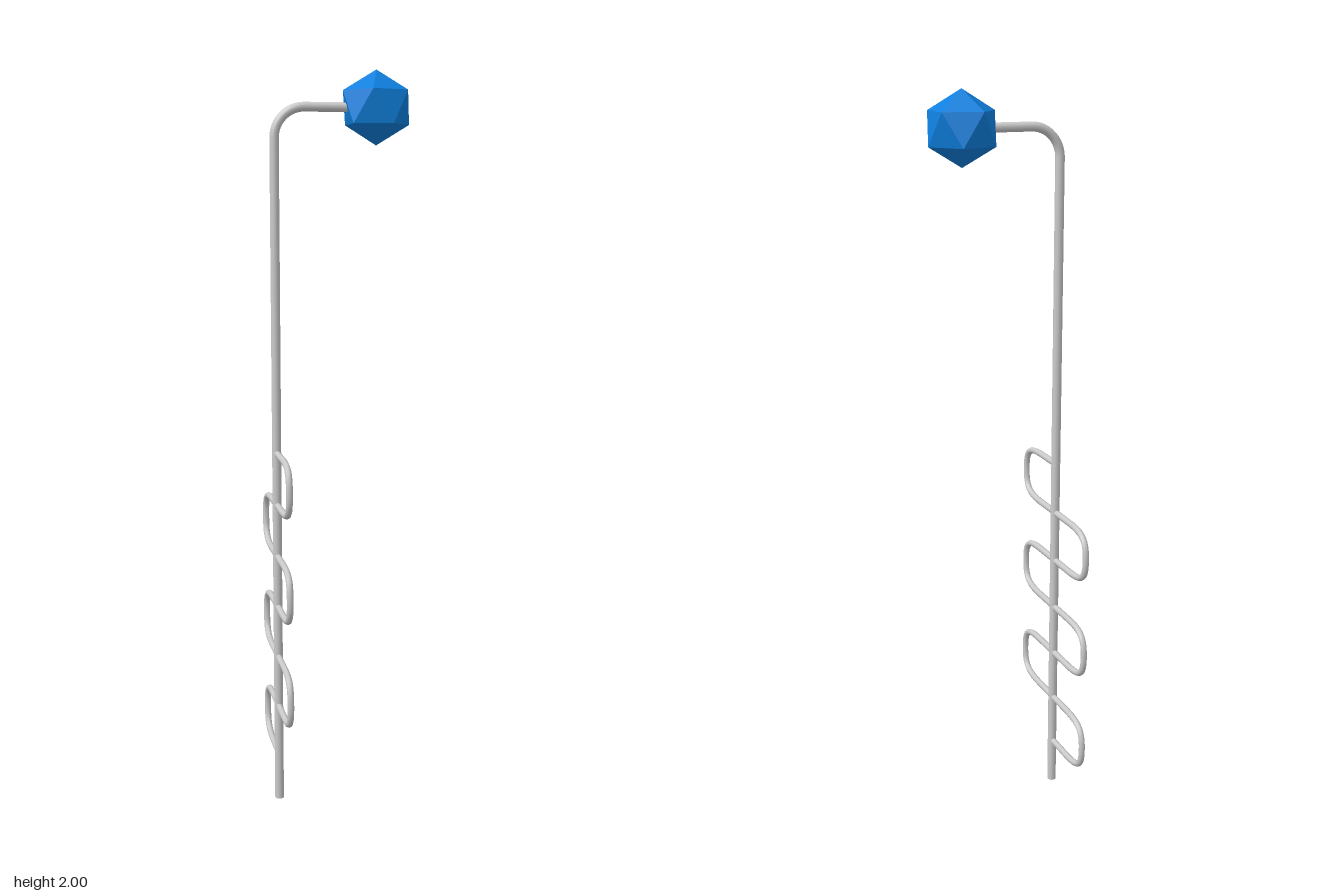
import * as THREE from 'three';

const ROD_X = -0.175, ARM_Y = 1.903, KNOB_X = 0.097;
const ROD_R = 0.0125, WIRE_R = 0.009;
const v = (x, y, z = 0) => new THREE.Vector3(x, y, z);

function mesh(name, geometry, material) {
  const m = new THREE.Mesh(geometry, material);
  m.name = name;
  return m;
}

// Upright rod that bends over into a short horizontal arm
function rodPath() {
  const path = new THREE.CurvePath(), r = 0.08, k = r * 0.45;
  const a = v(ROD_X, ARM_Y - r), b = v(ROD_X + r, ARM_Y);
  path.add(new THREE.LineCurve3(v(ROD_X, 0), a));
  path.add(new THREE.CubicBezierCurve3(a, v(ROD_X, ARM_Y - k), v(ROD_X + k, ARM_Y), b));
  path.add(new THREE.LineCurve3(b, v(KNOB_X, ARM_Y)));
  return path;
}

// Wire that snakes from side to side through the rod
function wirePath() {
  const path = new THREE.CurvePath();
  const loops = 6, top = 0.99, step = (top - 0.13) / loops;
  for (let i = 0; i < loops; i++) {
    const s = i % 2 ? -1 : 1, y0 = top - i * step, y1 = y0 - step, mid = (y0 + y1) / 2;
    const p = (z, y) => v(ROD_X, y, s * z);
    path.add(new THREE.LineCurve3(p(0, y0), p(0.09, y0)));
    path.add(new THREE.CubicBezierCurve3(p(0.09, y0), p(0.175, y0), p(0.2, y0 - 0.012), p(0.2, mid)));
    path.add(new THREE.CubicBezierCurve3(p(0.2, mid), p(0.2, y1 + 0.012), p(0.175, y1), p(0.09, y1)));
    path.add(new THREE.LineCurve3(p(0.09, y1), p(0, y1)));
  }
  return path;
}

export function createModel() {
  const group = new THREE.Group();
  const grey = new THREE.MeshStandardMaterial({ color: 0xcccccc });
  const blue = new THREE.MeshStandardMaterial({ color: 0x0f7fdd, flatShading: true });

  group.add(mesh('rod', new THREE.TubeGeometry(rodPath(), 200, ROD_R, 12), grey));

  // Flat closed foot of the rod
  const foot = mesh('rodEnd', new THREE.CircleGeometry(ROD_R, 12).rotateX(Math.PI / 2), grey);
  foot.position.x = ROD_X;
  group.add(foot);

  group.add(mesh('serpentineWire', new THREE.TubeGeometry(wirePath(), 280, WIRE_R, 8), grey));

  // Twenty-sided knob standing on a point, one upper corner facing the rod
  const phi = (1 + Math.sqrt(5)) / 2;
  const ico = new THREE.IcosahedronGeometry(0.1, 0)
    .rotateX(-Math.atan(phi)).rotateY(-Math.PI / 2).scale(1, 0.97, 1);
  const knob = mesh('knob', ico, blue);
  knob.position.set(KNOB_X, ARM_Y, 0);
  group.add(knob);

  return group;
}
